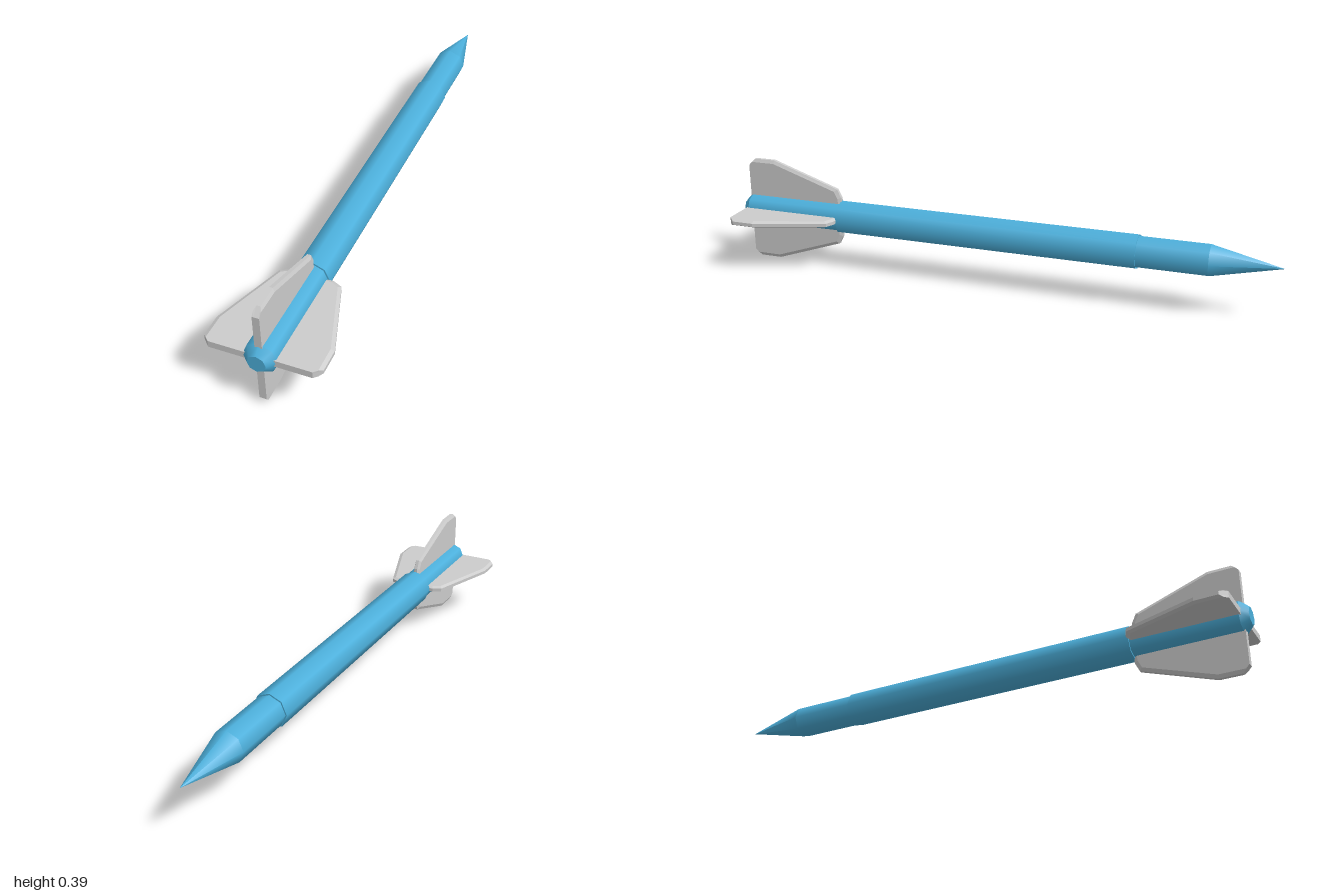
import * as THREE from 'three';

const AXIS_Y = 0.193;

// Convex outline lofted through layers of [x, outline]; outline points are [radius, z].
function loftFin(layers) {
  const pos = [];
  const at = (l, i) => {
    const [x, pts] = layers[l];
    const [r, z] = pts[i % pts.length];
    return [x, r, z];
  };
  const tri = (a, b, c) => pos.push(...a, ...b, ...c);
  const n = layers[0][1].length;
  const last = layers.length - 1;
  for (let l = 0; l < last; l++) {
    for (let i = 0; i < n; i++) {
      tri(at(l, i), at(l, i + 1), at(l + 1, i + 1));
      tri(at(l, i), at(l + 1, i + 1), at(l + 1, i));
    }
  }
  for (let i = 1; i < n - 1; i++) {
    tri(at(last, 0), at(last, i), at(last, i + 1));
    tri(at(0, 0), at(0, i + 1), at(0, i));
  }
  const geo = new THREE.BufferGeometry();
  geo.setAttribute('position', new THREE.Float32BufferAttribute(pos, 3));
  geo.computeVertexNormals();
  return geo;
}

export function createModel() {
  const blue = new THREE.MeshStandardMaterial({ color: 0x4cb0dc });
  blue.name = 'blue';
  const grey = new THREE.MeshStandardMaterial({ color: 0xcccccc });
  grey.name = 'light grey';

  const model = new THREE.Group();
  model.name = 'rocket';

  // Eight-sided body sections along z: name, back z, front z, back radius, front radius
  const sections = [
    ['noseCone', -1, -0.755, 0, 0.058],
    ['noseSection', -0.755, -0.51, 0.058, 0.058],
    ['mainBody', -0.51, 0.607, 0.063, 0.063],
    ['tailSection', 0.607, 0.973, 0.057, 0.057],
    ['tailNozzle', 0.973, 1, 0.057, 0.031],
  ];
  for (const [name, z0, z1, r0, r1] of sections) {
    const geo = new THREE.CylinderGeometry(r1, r0, z1 - z0, 8);
    geo.rotateX(Math.PI / 2);
    const mesh = new THREE.Mesh(geo, blue);
    mesh.name = name;
    mesh.position.set(0, AXIS_Y, (z0 + z1) / 2);
    model.add(mesh);
  }

  // Four swept fins with bevelled leading and outer edges
  const rim = [[0, 0.6], [0.075, 0.605], [0.106, 0.62], [0.193, 0.875], [0.193, 0.955], [0.168, 0.979], [0, 0.979]];
  const face = [[0, 0.613], [0.07, 0.617], [0.098, 0.631], [0.181, 0.877], [0.181, 0.967], [0.168, 0.979], [0, 0.979]];
  const finGeo = loftFin([[-0.012, face], [-0.006, rim], [0.006, rim], [0.012, face]]);
  ['topFin', 'rightFin', 'bottomFin', 'leftFin'].forEach((name, i) => {
    const fin = new THREE.Mesh(finGeo, grey);
    fin.name = name;
    fin.position.y = AXIS_Y;
    fin.rotation.z = i * Math.PI / 2;
    model.add(fin);
  });

  return model;
}
